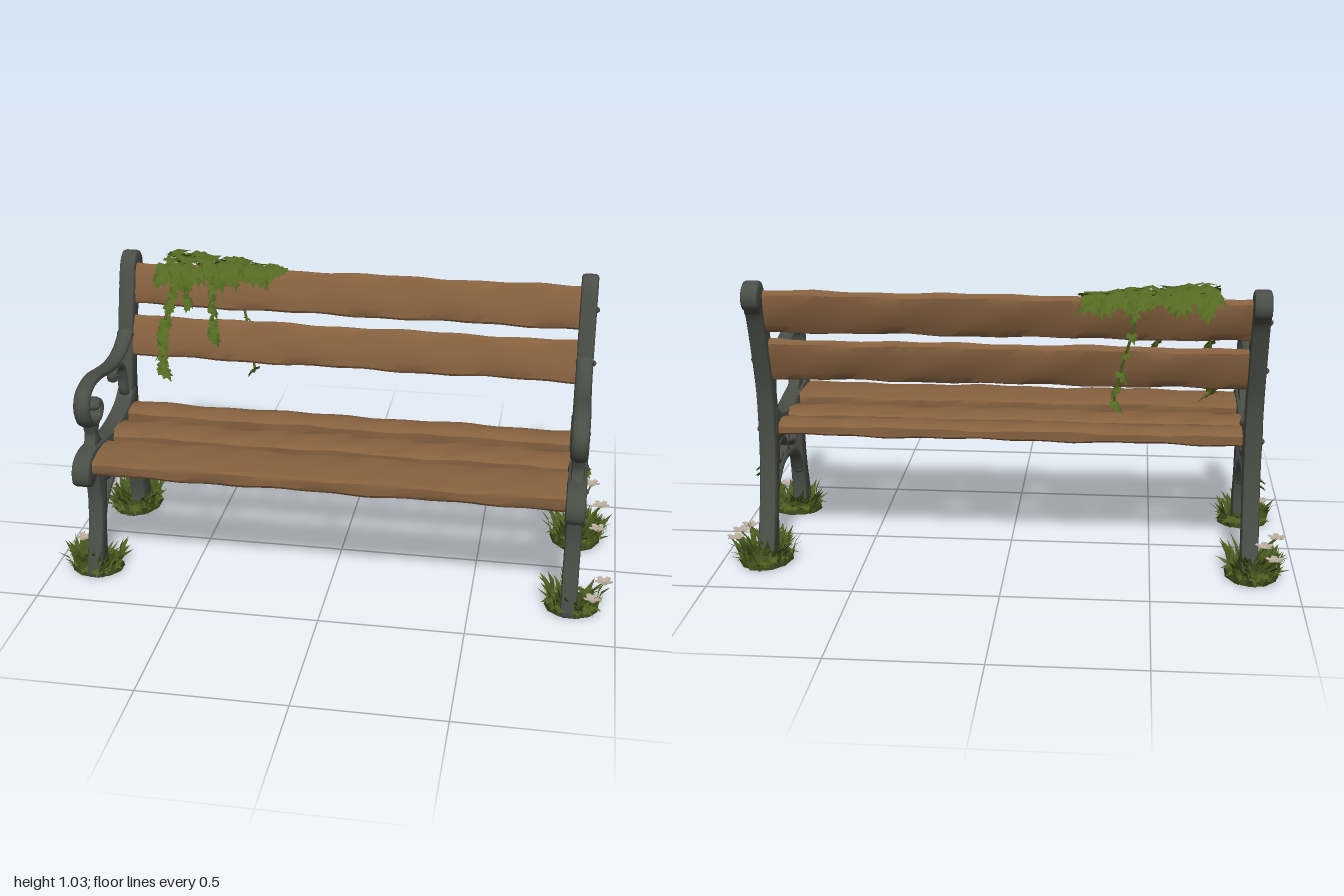
import * as THREE from 'three';
import { mergeGeometries, toCreasedNormals } from 'three/addons/utils/BufferGeometryUtils.js';

const material = (name, color, side = THREE.FrontSide) => {
  const m = new THREE.MeshStandardMaterial({ color, side });
  m.name = name;
  return m;
};

let seed = 7;
const rand = (a = 0, b = 1) => {
  seed = (seed * 16807) % 2147483647;
  return a + (b - a) * (seed / 2147483647);
};

const mesh = (name, geometry, mat) => {
  const m = new THREE.Mesh(geometry, mat);
  m.name = name;
  return m;
};

// Smooth closed outline in (z, y), extruded across x with a soft bevel
function casting(points, width) {
  const curve = new THREE.CatmullRomCurve3(points.map(([z, y]) => new THREE.Vector3(z, y, 0)), true, 'catmullrom', 0.5);
  const outline = curve.getPoints(points.length * 4).slice(0, -1).map(p => new THREE.Vector2(p.x, Math.max(0, p.y)));
  const b = 0.012;
  const g = new THREE.ExtrudeGeometry(new THREE.Shape(outline), {
    depth: width - 2 * b, bevelEnabled: true, bevelSize: b, bevelThickness: b, bevelOffset: -b, bevelSegments: 2,
  });
  g.translate(0, 0, b - width / 2).rotateY(-Math.PI / 2);
  return toCreasedNormals(g, 0.7);
}

// Scrolled bar through (z, y) points, with round ends, widened across x
function scroll(points, radius, widen) {
  const v = points.map(([z, y]) => new THREE.Vector3(0, y, z));
  const parts = [new THREE.TubeGeometry(new THREE.CatmullRomCurve3(v), points.length * 5, radius, 10)];
  for (const p of [v[0], v[v.length - 1]]) parts.push(new THREE.SphereGeometry(radius * 1.1, 10, 8).translate(p.x, p.y, p.z));
  return mergeGeometries(parts).scale(widen, 1, 1);
}

// Worn plank: chamfered box with a gently wavy surface
function plank(height, depth, phase) {
  const L = 1.63;
  const g = new THREE.BoxGeometry(L, height, depth, 36, 4, 3);
  const p = g.attributes.position;
  for (let i = 0; i < p.count; i++) {
    const x = p.getX(i);
    let y = p.getY(i), z = p.getZ(i);
    if (Math.abs(y) > height * 0.49 && Math.abs(z) > depth * 0.49) {
      y -= Math.sign(y) * 0.007;
      z -= Math.sign(z) * 0.007;
    }
    y += Math.sign(y) * (0.0025 * Math.sin(x * 11 + phase) + 0.002 * Math.sin(x * 29 + phase * 3 + z * 40));
    z += Math.sign(z) * 0.002 * Math.sin(x * 17 + phase * 2 + y * 30);
    p.setXYZ(i, x, y, z);
  }
  return toCreasedNormals(g, 0.6);
}

// Flat-faced fan from a centre point through a loop of points
function fan(centre, loop) {
  const a = [];
  loop.forEach((p, i) => a.push(...centre, ...p, ...loop[(i + 1) % loop.length]));
  const g = new THREE.BufferGeometry();
  g.setAttribute('position', new THREE.Float32BufferAttribute(a, 3));
  g.computeVertexNormals();
  return g;
}

// Ivy leaf, pointing along +z, folded at the midrib
const half = [[0.34, -0.14], [0.55, 0.2], [0.33, 0.34], [0.4, 0.62], [0.16, 0.62]];
const leafLoop = [[0, 0], ...half, [0, 1], ...half.map(([x, z]) => [-x, z]).reverse()]
  .map(([x, z]) => [x, -0.25 * Math.abs(x) - 0.22 * z * z, z]);
const leafBase = fan([0, 0.04, 0.35], leafLoop);
const petalBase = fan([0, 0.02, 0.5], [[0, 0, 0], [0.35, 0.1, 0.5], [0.25, 0.16, 0.9], [0, 0.1, 1], [-0.25, 0.16, 0.9], [-0.35, 0.1, 0.5]]);

const place = (base, pos, yaw, pitch, size, roll = 0) => base.clone().applyMatrix4(new THREE.Matrix4().compose(
  new THREE.Vector3(...pos), new THREE.Quaternion().setFromEuler(new THREE.Euler(pitch, yaw, roll, 'YXZ')),
  new THREE.Vector3(size, size, size)));

// Bent grass blade
function blade(x, z, yaw, height, lean, width) {
  const dx = Math.sin(yaw), dz = Math.cos(yaw);
  const at = (t, s) => [x + dx * lean * t * t + dz * width * s, height * (t - 0.25 * t * t) * 1.33, z + dz * lean * t * t - dx * width * s];
  return fan(at(0.5, 0), [at(0, -0.8), at(0, 0.8), at(0.55, 1), at(1, 0), at(0.55, -1)]);
}

export function createModel() {
  const group = new THREE.Group();
  const iron = material('cast iron', 0x4b4e47);
  const wood = material('brown wood', 0x86613f);
  const ivy = material('ivy green', 0x546a22, THREE.DoubleSide);
  const grass = material('grass green', 0x4c5e20, THREE.DoubleSide);
  const moss = material('dark moss', 0x3a481b);
  const cream = material('pale petals', 0xb9aa9b, THREE.DoubleSide);

  // Iron end frames
  const post = casting([[-0.2, 0], [-0.2, 0.07], [-0.178, 0.2], [-0.15, 0.3], [-0.135, 0.42], [-0.132, 0.52], [-0.147, 0.62],
    [-0.178, 0.75], [-0.222, 0.9], [-0.25, 0.98], [-0.285, 1.015], [-0.33, 1.01], [-0.358, 0.975], [-0.35, 0.935], [-0.315, 0.91],
    [-0.285, 0.85], [-0.237, 0.7], [-0.212, 0.6], [-0.205, 0.48], [-0.212, 0.34], [-0.243, 0.2], [-0.285, 0.08], [-0.31, 0]], 0.06);
  const rail = casting([[0.408, 0.46], [0.37, 0.493], [0.3, 0.5], [0.2, 0.487], [0.1, 0.474], [0, 0.48], [-0.09, 0.5], [-0.17, 0.54],
    [-0.18, 0.42], [-0.1, 0.405], [0, 0.392], [0.12, 0.395], [0.22, 0.41], [0.3, 0.415], [0.34, 0.388], [0.38, 0.382], [0.413, 0.41]], 0.066);
  const leg = casting([[0.31, 0.44], [0.295, 0.37], [0.285, 0.28], [0.3, 0.18], [0.335, 0.07], [0.345, 0], [0.255, 0], [0.252, 0.1],
    [0.236, 0.2], [0.215, 0.3], [0.207, 0.37], [0.19, 0.44]], 0.056);
  const stub = casting([[0.31, 0.48], [0.285, 0.53], [0.295, 0.585], [0.22, 0.58], [0.245, 0.53], [0.21, 0.48]], 0.045);
  const arm = scroll([[-0.18, 0.735], [-0.12, 0.705], [-0.05, 0.69], [0.03, 0.69], [0.12, 0.705], [0.2, 0.72], [0.27, 0.72], [0.325, 0.7],
    [0.345, 0.655], [0.325, 0.605], [0.275, 0.578], [0.225, 0.58], [0.2, 0.61], [0.215, 0.635], [0.245, 0.63]], 0.0165, 1.8);
  const backScroll = scroll([[-0.15, 0.5], [-0.12, 0.53], [-0.112, 0.59], [-0.095, 0.635], [-0.06, 0.66], [-0.02, 0.665], [0.005, 0.645],
    [0.0, 0.63]], 0.014, 1.4);
  const arch = scroll([[0.25, 0.17], [0.21, 0.235], [0.14, 0.28], [0.04, 0.3], [-0.06, 0.29], [-0.14, 0.24], [-0.2, 0.16]], 0.017, 1.4);
  const curl = [[0.01, 0.3], [0.045, 0.345], [0.085, 0.378], [0.135, 0.383], [0.175, 0.36], [0.177, 0.325], [0.145, 0.31], [0.12, 0.33]];
  const curls = [curl, curl.map(([z, y]) => [0.075 - z, y])].map(c => scroll(c, 0.0135, 1.4));
  for (const s of [-1, 1]) {
    const frame = new THREE.Group();
    frame.name = s > 0 ? 'leftFrame' : 'rightFrame';
    frame.position.x = s * 0.84;
    const parts = { backPost: post, seatRail: rail, frontLeg: leg, armSupport: stub, armrest: arm, backScroll, legArch: arch,
      frontCurl: curls[0], rearCurl: curls[1] };
    for (const [name, g] of Object.entries(parts)) frame.add(mesh(name, g, iron));
    // Bolt heads
    for (const [z, y] of [[0.28, 0.455], [0.06, 0.435], [-0.17, 0.46], [-0.205, 0.72], [-0.265, 0.9]]) {
      const bolt = mesh('bolt', new THREE.SphereGeometry(0.011, 8, 6), iron);
      bolt.position.set(s * 0.03, y, z);
      frame.add(bolt);
    }
    group.add(frame);
  }

  // Wooden slats: [name, y, z, height, depth, tilt]
  const slats = [['frontSeatSlat', 0.452, 0.285, 0.068, 0.19, 0], ['middleSeatSlat', 0.448, 0.06, 0.055, 0.14, 0],
    ['rearSeatSlat', 0.455, -0.105, 0.055, 0.11, 0], ['lowerBackSlat', 0.723, -0.203, 0.15, 0.045, -0.29],
    ['upperBackSlat', 0.905, -0.262, 0.153, 0.045, -0.29]];
  slats.forEach(([name, y, z, h, d, tilt], i) => {
    const slat = mesh(name, plank(h, d, i * 1.7), wood);
    slat.position.set(0, y, z);
    slat.rotation.x = tilt;
    group.add(slat);
  });

  // Ivy draped over the upper slat
  const leaves = [];
  for (let i = 0; i < 125; i++) {
    const t = Math.pow(rand(), 1.5);
    const spread = 1 - 0.75 * t;
    const a = rand(-1.5, 1.6);
    const pos = [-0.69 + 0.42 * t, 0.965 + (0.015 + 0.045 * spread) * Math.cos(a), -0.275 + 0.085 * spread * Math.sin(a)];
    leaves.push(place(leafBase, pos, (a < 0 ? Math.PI : 0) + rand(-1.1, 1.1), rand(-0.2, 0.3) + Math.abs(a) * 0.4, rand(0.045, 0.08), rand(-0.4, 0.4)));
  }
  // Hanging strands, each with leaves along it: [leaf count, leaf yaw, points]
  const strands = [
    [18, 0, [[-0.65, 1, -0.24], [-0.66, 0.9, -0.2], [-0.69, 0.76, -0.155], [-0.69, 0.62, -0.14]]],
    [12, 0, [[-0.5, 1, -0.25], [-0.51, 0.9, -0.2], [-0.5, 0.76, -0.165]]],
    [5, 0, [[-0.6, 1, -0.25], [-0.61, 0.92, -0.21], [-0.6, 0.86, -0.19]]],
    [6, Math.PI, [[-0.44, 1, -0.31], [-0.42, 0.86, -0.295], [-0.385, 0.72, -0.255], [-0.365, 0.61, -0.23]]],
    [7, 0.6, [[-0.5, 0.99, -0.27], [-0.38, 0.99, -0.265], [-0.26, 0.99, -0.275]]],
  ];
  const stems = [];
  for (const [n, yaw, pts] of strands) {
    const curve = new THREE.CatmullRomCurve3(pts.map(p => new THREE.Vector3(...p)));
    stems.push(new THREE.TubeGeometry(curve, 12, 0.005, 5));
    for (let i = 0; i < n; i++) {
      const p = curve.getPoint((i + 1) / n);
      leaves.push(place(leafBase, [p.x, p.y, p.z], yaw + (i % 2 ? 1 : -1) * rand(0.3, 1.3), rand(0.5, 1.1), rand(0.035, 0.06)));
    }
  }
  // Stray leaves on the frames
  for (const s of [-1, 1]) {
    for (const [x, y, z] of [[0.84, 0.64, 0.225], [0.865, 0.33, -0.185], [0.865, 0.31, -0.19]]) {
      leaves.push(place(leafBase, [s * x, y, z], s * rand(0.2, 1.4), 0.5, 0.045));
    }
  }
  group.add(mesh('ivyLeaves', mergeGeometries(leaves), ivy), mesh('ivyStems', mergeGeometries(stems), ivy));

  // Grass clumps round the four feet
  const blades = [], mounds = [], petals = [], flowerStems = [];
  for (const s of [-1, 1]) for (const [cz, r] of [[0.265, 0.085], [-0.24, 0.12]]) {
    const cx = s * 0.85;
    const mound = new THREE.SphereGeometry(1, 11, 3, 0, Math.PI * 2, 0, Math.PI / 2).scale(0.095, 0.034, r);
    const base = new THREE.CircleGeometry(1, 11).rotateX(Math.PI / 2).scale(0.095, 1, r);
    mounds.push(mound.translate(cx, 0.002, cz), base.translate(cx, 0.002, cz));
    for (let i = 0; i < r * 950; i++) {
      const a = rand(0, Math.PI * 2), d = Math.sqrt(rand(0.05, 1));
      blades.push(blade(cx + Math.sin(a) * d * 0.09, cz + Math.cos(a) * d * r, a + rand(-0.6, 0.6),
        rand(0.035, 0.105), rand(0.015, 0.06), rand(0.006, 0.013)));
    }
    // Broad low leaves
    for (let i = 0; i < 12; i++) {
      const a = i * 0.52 + rand(0, 0.3);
      blades.push(place(leafBase, [cx + Math.sin(a) * 0.06, 0.035, cz + Math.cos(a) * r * 0.75], a, 0.1, rand(0.04, 0.055)));
    }
  }
  // Small flowers: position of each head
  const heads = [[0.9, 0.155, -0.375], [0.94, 0.1, -0.31], [0.93, 0.085, -0.15], [0.955, 0.095, 0.25], [0.92, 0.07, 0.33],
    [-0.88, 0.15, -0.37], [-0.94, 0.1, -0.16], [-0.92, 0.085, -0.33], [-0.91, 0.09, 0.23]];
  for (const [x, y, z] of heads) {
    const root = new THREE.Vector3(x * 0.95, 0.01, z * 0.88);
    const mid = new THREE.Vector3(x * 0.96, y * 0.6, z * 0.91);
    flowerStems.push(new THREE.TubeGeometry(new THREE.QuadraticBezierCurve3(root, mid, new THREE.Vector3(x, y, z)), 5, 0.003, 4));
    for (let i = 0; i < 5; i++) petals.push(place(petalBase, [x, y, z], i * 1.257, -0.15, 0.034));
  }
  group.add(mesh('grassBlades', mergeGeometries(blades), grass), mesh('mossMounds', mergeGeometries(mounds), moss),
    mesh('flowerStems', mergeGeometries(flowerStems), grass), mesh('flowerPetals', mergeGeometries(petals), cream));
  return group;
}
